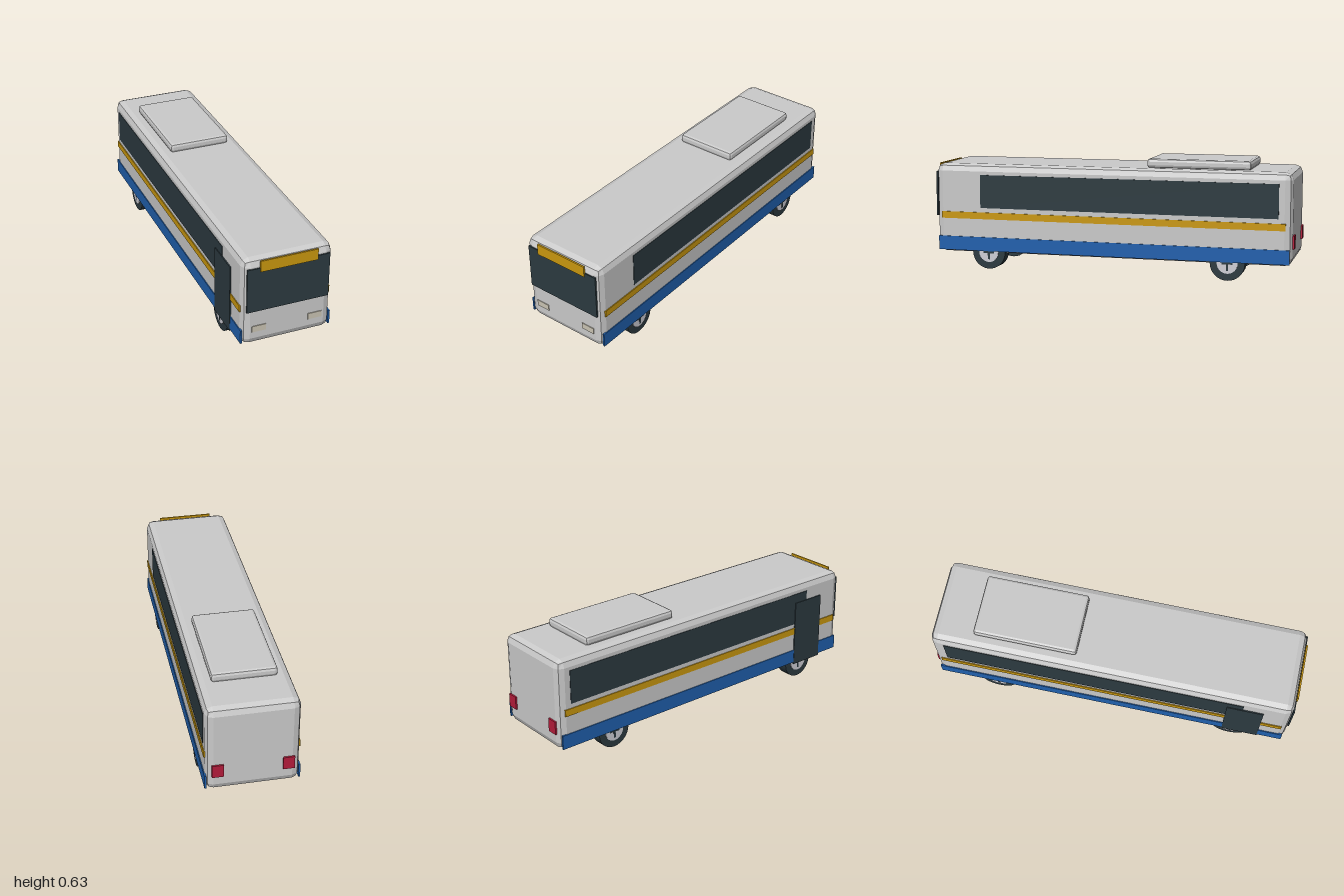
import * as THREE from 'three';
import { RoundedBoxGeometry } from 'three/addons/geometries/RoundedBoxGeometry.js';

const mat = (name, color) => {
  const m = new THREE.MeshStandardMaterial({ color });
  m.name = name;
  return m;
};

export function createModel() {
  const paint = mat('lightGreyPaint', 0xcacaca);
  const dark = mat('darkGlassAndRubber', 0x2c3a40);
  const gold = mat('goldTrim', 0xca980f);
  const blue = mat('bluePaint', 0x2060ad);
  const red = mat('redLamp', 0xb41c3b);
  const cream = mat('creamLamp', 0xcac4b3);
  const silver = mat('silverHub', 0xcfcfd6);

  const bus = new THREE.Group();
  bus.name = 'bus';

  const add = (name, geometry, material, parent = bus) => {
    const mesh = new THREE.Mesh(geometry, material);
    mesh.name = name;
    parent.add(mesh);
    return mesh;
  };

  // Box given by its limits on each axis
  const box = (name, material, [x0, x1], [y0, y1], [z0, z1], parent = bus) => {
    const mesh = add(name, new THREE.BoxGeometry(x1 - x0, y1 - y0, z1 - z0), material, parent);
    mesh.position.set((x0 + x1) / 2, (y0 + y1) / 2, (z0 + z1) / 2);
    return mesh;
  };

  // Box with faceted two-step bevels
  const bevelBox = (name, material, [x0, x1], [y0, y1], [z0, z1], radius) => {
    const geometry = new RoundedBoxGeometry(x1 - x0, y1 - y0, z1 - z0, 1, radius);
    geometry.computeVertexNormals();
    const mesh = add(name, geometry, material);
    mesh.position.set((x0 + x1) / 2, (y0 + y1) / 2, (z0 + z1) / 2);
    return mesh;
  };

  // Shell and roof unit
  bevelBox('body', paint, [-0.24, 0.24], [0.088, 0.582], [-0.991, 0.989], 0.04);
  bevelBox('roofUnit', paint, [-0.17, 0.17], [0.58, 0.63], [-0.763, -0.198], 0.016);

  // Front end
  box('windscreen', dark, [-0.22, 0.22], [0.288, 0.535], [0.986, 0.995]);
  box('destinationSign', gold, [-0.153, 0.153], [0.515, 0.576], [0.991, 1]);

  for (const side of [1, -1]) {
    const span = (a, b) => (side > 0 ? [a, b] : [-b, -a]);
    const label = side > 0 ? 'left' : 'right';

    // Side panels
    box(label + 'Window', dark, span(0.234, 0.2425), [0.34, 0.523], [-0.92, 0.728]);
    box(label + 'Stripe', gold, span(0.236, 0.245), [0.278, 0.315], [-0.957, 0.955]);
    box(label + 'Skirt', blue, span(0.2355, 0.245), [0.1, 0.177], [-0.98, 0.975]);

    // Lamps
    box(label + 'Headlight', cream, span(0.114, 0.19), [0.166, 0.2], [0.984, 0.993]);
    box(label + 'TailLight', red, span(0.151, 0.21), [0.178, 0.25], [-1, -0.991]);

    // Wheels with hubs and cross spokes
    for (const [end, z] of [['Front', 0.684], ['Rear', -0.652]]) {
      const wheel = new THREE.Group();
      wheel.name = label + end + 'Wheel';
      wheel.position.set(side * 0.2, 0.094, z);
      bus.add(wheel);
      const tyre = add('tyre', new THREE.CylinderGeometry(0.094, 0.094, 0.065, 32), dark, wheel);
      const hub = add('hub', new THREE.CylinderGeometry(0.056, 0.056, 0.074, 24), silver, wheel);
      tyre.rotation.z = hub.rotation.z = Math.PI / 2;
      for (const face of [1, -1]) {
        const x = face > 0 ? [0.034, 0.0385] : [-0.0385, -0.034];
        box('spoke', dark, x, [-0.04, 0.04], [-0.006, 0.006], wheel);
        box('spoke', dark, x, [-0.006, 0.006], [-0.03, 0.03], wheel);
      }
    }
  }

  // Passenger door on the right side
  box('door', dark, [-0.2465, -0.2375], [0.089, 0.469], [0.64, 0.84]);

  return bus;
}
